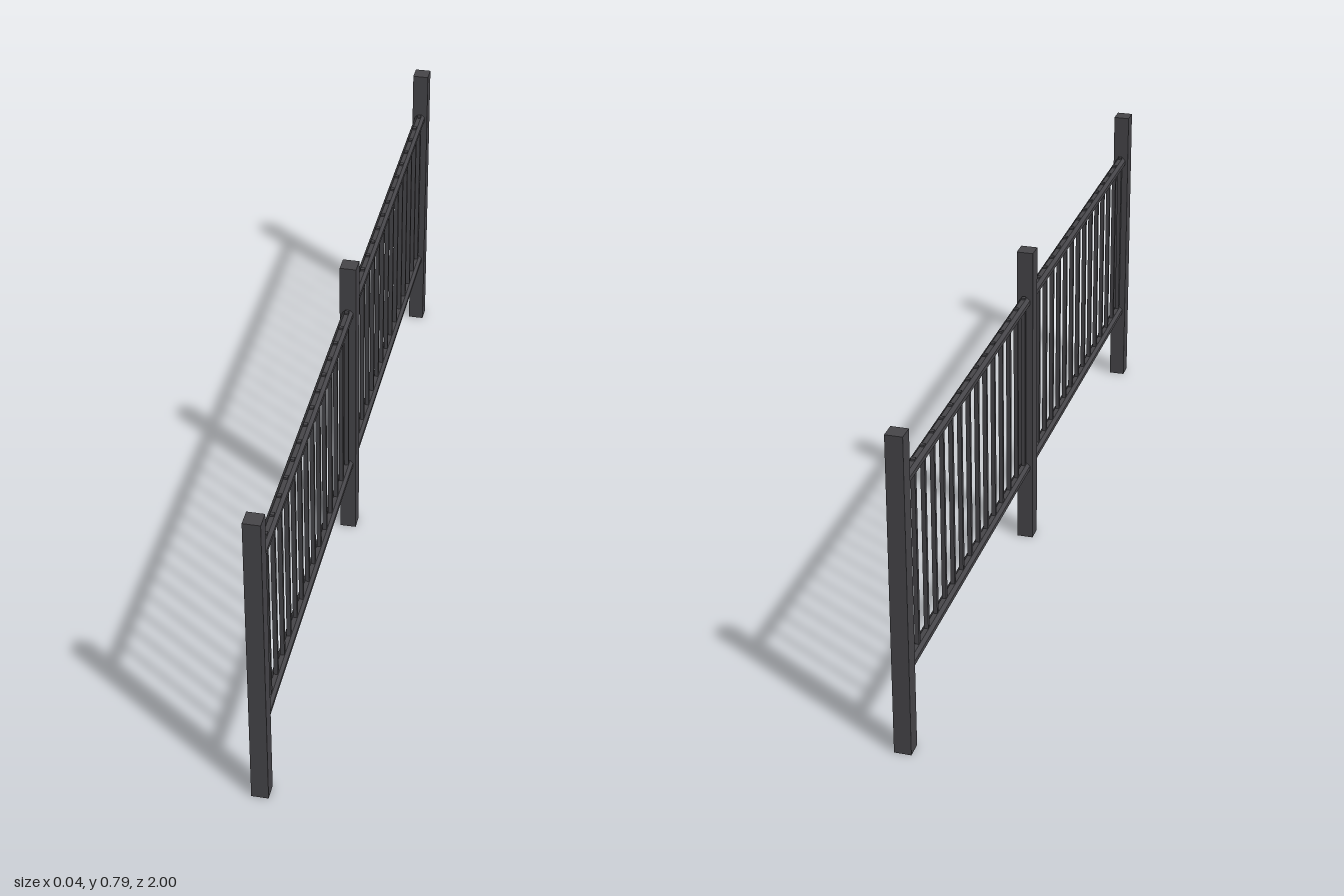
import * as THREE from 'three';

export function createModel() {
  const group = new THREE.Group();
  const metal = new THREE.MeshStandardMaterial({ color: 0x47464a });
  metal.name = 'dark grey metal';
  metal.flatShading = true;

  const add = (name, geometry, y, z) => {
    const mesh = new THREE.Mesh(geometry, metal);
    mesh.name = name;
    mesh.position.set(0, y, z);
    group.add(mesh);
  };

  // Three square posts
  const postHeight = 0.785;
  const postGeometry = new THREE.BoxGeometry(0.04, postHeight, 0.04);
  for (const z of [-0.98, 0, 0.98]) add('post', postGeometry, postHeight / 2, z);

  // Upper and lower rails, running through the posts along z
  const railGeometry = new THREE.CylinderGeometry(0.014, 0.014, 1.96, 8);
  railGeometry.rotateY(Math.PI / 8).rotateX(Math.PI / 2);
  add('topRail', railGeometry, 0.655, 0);
  add('bottomRail', railGeometry, 0.2, 0);

  // Evenly spaced balusters, ends just past the rails
  const count = 30;
  const spacing = 0.0654;
  const balusterGeometry = new THREE.BoxGeometry(0.01, 0.49, 0.01);
  for (let i = 0; i < count; i++) {
    add('baluster', balusterGeometry, 0.4275, (i - (count - 1) / 2) * spacing + 0.002);
  }

  return group;
}
